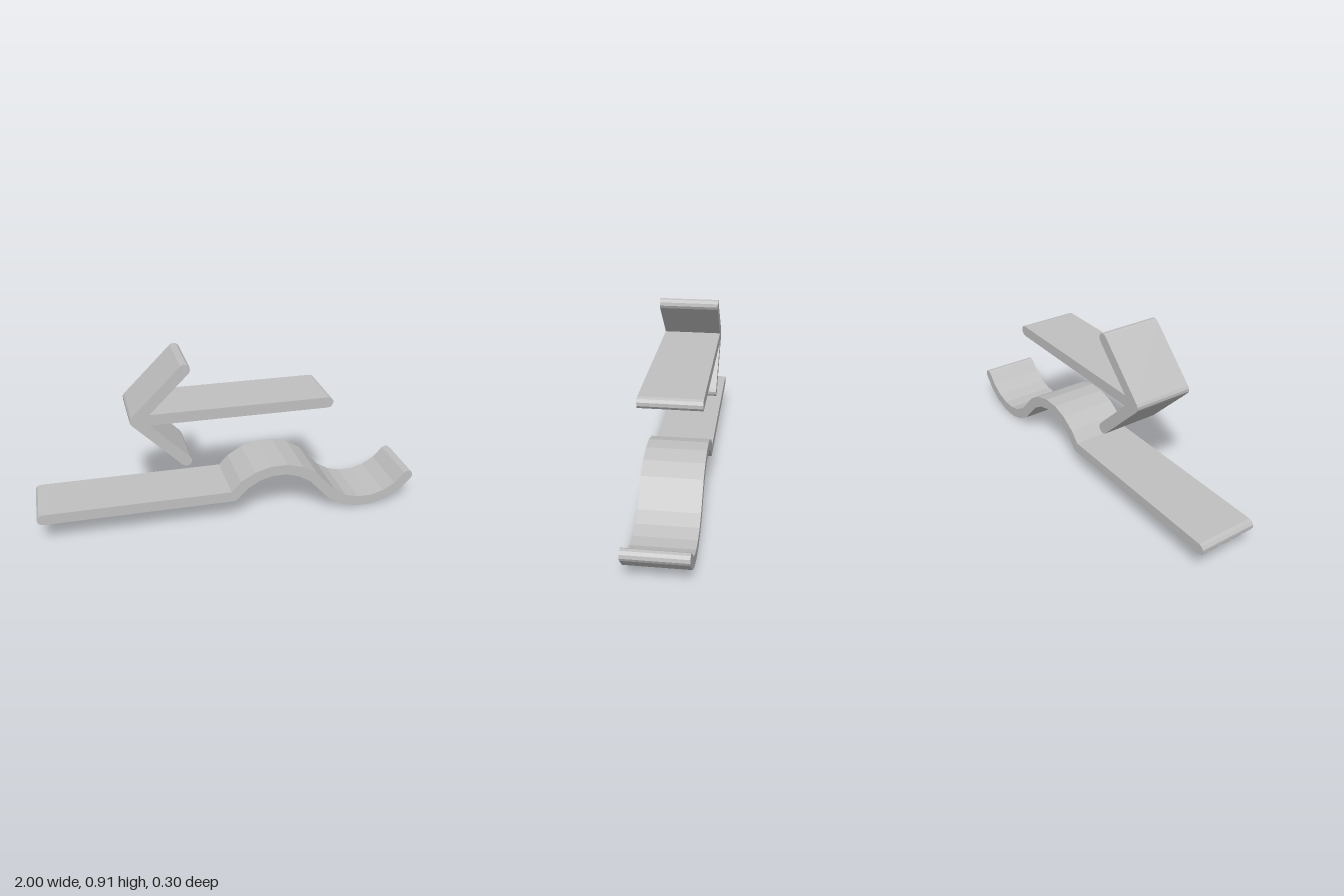
import * as THREE from 'three';

const H = 0.028;      // half thickness of every bar
const DEPTH = 0.303;  // width of the strips along z
const U = 0.243;      // layout unit
const rad = THREE.MathUtils.degToRad;

// Points on an arc round (x, y), angles in degrees, ends included
function arc(x, y, r, from, to, steps) {
  return Array.from({ length: steps + 1 }, (_, i) => {
    const a = rad(from + ((to - from) * i) / steps);
    return new THREE.Vector2(x + r * Math.cos(a), y + r * Math.sin(a));
  });
}

function strip(name, outline, material) {
  const geometry = new THREE.ExtrudeGeometry(new THREE.Shape(outline), { depth: DEPTH, bevelEnabled: false });
  geometry.translate(0, 0, -DEPTH / 2);
  const mesh = new THREE.Mesh(geometry, material);
  mesh.name = name;
  return mesh;
}

// Arrow pointing to -x: round tip, two barbs and a shaft
function arrowOutline(y) {
  const tip = -2 * U;
  const inner = tip + H * (1 + Math.SQRT2);
  return [
    ...arc(tip, y, H, 135, 225, 3),
    ...arc(-U, y - U, H, 225, 405, 5),
    new THREE.Vector2(inner, y - H),
    ...arc(2 * U, y, H, -90, 90, 5),
    new THREE.Vector2(inner, y + H),
    ...arc(-U, y + U, H, -45, 135, 5),
  ];
}

// Straight bar that runs on into a crest and a trough
function waveOutline(y) {
  const half = 55, steps = 7, r = U / Math.sin(rad(half)), drop = r * Math.cos(rad(half));
  const crest = arc(U, y - drop, r, 90 + half, 90 - half, steps);
  const trough = arc(3 * U, y + drop, r, 270 - half, 270 + half, steps);
  const path = [new THREE.Vector2(-4 * U, y), ...crest, ...trough.slice(1)];

  // Mitred offset of the path to one side (+1 above, -1 below)
  const offset = (i, side) => {
    const a = path[i].clone().sub(path[i - 1]).normalize();
    const b = path[i + 1].clone().sub(path[i]).normalize();
    const m = a.clone().add(b).normalize();
    const d = (side * H) / m.dot(a);
    return new THREE.Vector2(path[i].x - m.y * d, path[i].y + m.x * d);
  };
  const below = [], above = [];
  for (let i = 1; i < path.length - 1; i++) {
    above.unshift(offset(i, 1));
    if (i > 1) below.push(offset(i, -1));
  }
  const rise = half - half / steps;  // slope of the first and last facets
  const end = path[path.length - 1];
  return [
    ...arc(-4 * U, y, H, 90, 270, 5),
    ...arc(0, y, H, -90, -90 + rise, 3),
    ...below,
    ...arc(end.x, end.y, H, rise - 90, rise + 90, 5),
    ...above,
  ];
}

export function createModel() {
  const grey = new THREE.MeshStandardMaterial({ color: 0xc0c0c0 });
  grey.name = 'light grey';
  const group = new THREE.Group();
  group.name = 'arrowAndWave';
  group.add(strip('arrow', arrowOutline(0.638), grey), strip('waveBar', waveOutline(0.152), grey));
  return group;
}
